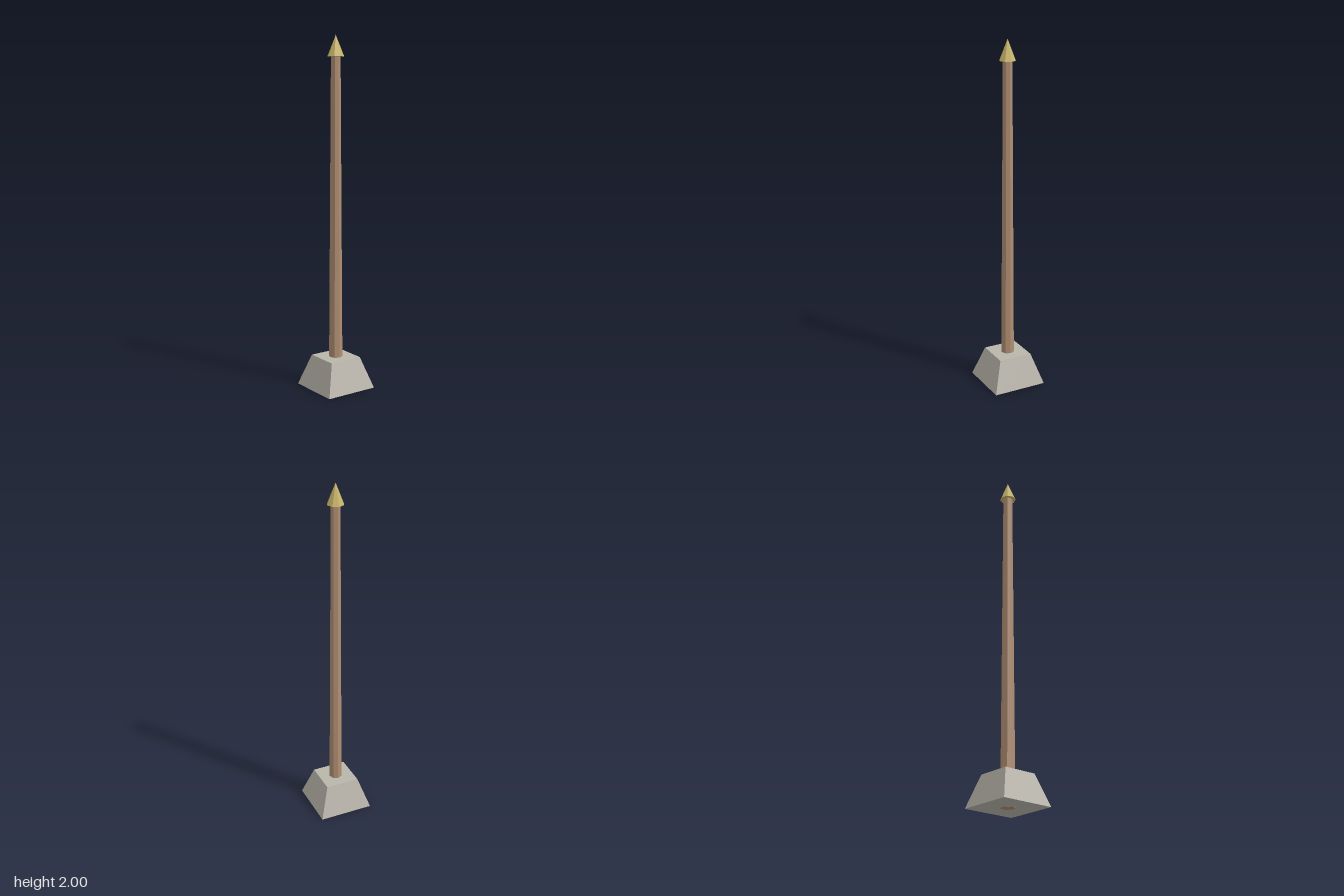
import * as THREE from 'three';

const material = (name, color) => {
  const m = new THREE.MeshStandardMaterial({ color, flatShading: true });
  m.name = name;
  return m;
};

// Straight-sided tapered part standing between two heights
function taper(name, rTop, rBottom, y0, y1, sides, mat) {
  const geometry = new THREE.CylinderGeometry(rTop, rBottom, y1 - y0, sides);
  const mesh = new THREE.Mesh(geometry, mat);
  mesh.name = name;
  mesh.position.y = (y0 + y1) / 2;
  return mesh;
}

export function createModel() {
  const stone = material('stone', 0xb9b5ab);
  const wood = material('wood', 0xb08e72);
  const brass = material('brass', 0xc8b468);

  const group = new THREE.Group();
  group.name = 'pole';

  // Square sloped footing
  const base = taper('base', 0.099 * Math.SQRT2, 0.158 * Math.SQRT2, 0.001, 0.18, 4, stone);
  base.geometry.rotateY(Math.PI / 4);
  group.add(base);

  // Octagonal shaft running through the footing
  group.add(taper('shaft', 0.027, 0.04, 0, 1.886, 8, wood));

  // Pointed cap
  const finial = new THREE.Mesh(new THREE.ConeGeometry(0.047, 0.116, 8), brass);
  finial.name = 'finial';
  finial.position.y = 1.942;
  group.add(finial);

  return group;
}
